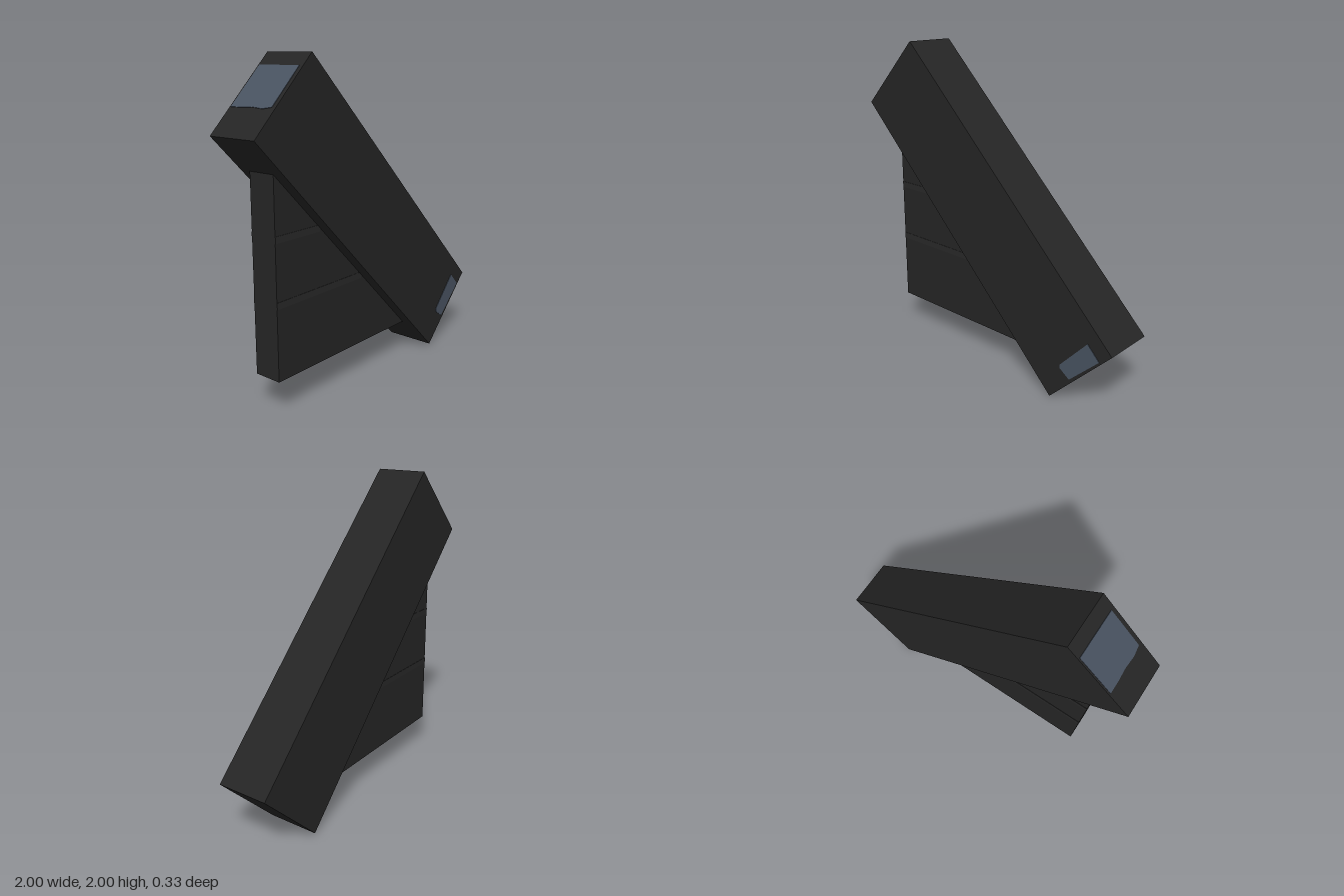
import * as THREE from 'three';

export function createModel() {
  const model = new THREE.Group();
  const black = new THREE.MeshStandardMaterial({ color: 0x252525 });
  black.name = 'black';
  const softBlack = new THREE.MeshStandardMaterial({ color: 0x282828 });
  softBlack.name = 'soft black';
  const slate = new THREE.MeshStandardMaterial({ color: 0x485260 });
  slate.name = 'slate';

  const add = (parent, name, geometry, material, x = 0, y = 0, z = 0) => {
    const mesh = new THREE.Mesh(geometry, material);
    mesh.name = name;
    mesh.position.set(x, y, z);
    parent.add(mesh);
    return mesh;
  };
  const plate = (points, depth) => new THREE.ExtrudeGeometry(
    new THREE.Shape(points.map(([x, y]) => new THREE.Vector2(x, y))),
    { depth, bevelEnabled: false });

  // Diagonal beam, with its length along local x
  const length = 2.234, width = 0.594, depth = 0.33;
  const beam = new THREE.Group();
  beam.name = 'beam';
  beam.position.y = 1.003;
  beam.rotation.z = -Math.PI / 4;
  model.add(beam);
  add(beam, 'beamBody', new THREE.BoxGeometry(length, width, depth), black);

  // Slate patch on the front of the lower end
  add(beam, 'frontPatch', plate([
    [0.986, 0.2], [0.997, -0.078], [1.011, -0.092], [1.096, -0.078], [1.103, 0.198],
  ], 0.003), slate, 0, 0, depth / 2);

  // Slate patch on the upper end face
  const endPatch = add(beam, 'endPatch', plate([
    [-0.155, 0.198], [-0.155, -0.099], [-0.08, -0.099], [0, -0.092],
    [0.08, -0.099], [0.14, -0.085], [0.14, 0.198],
  ], 0.003), slate, -length / 2, 0, 0);
  endPatch.rotation.y = -Math.PI / 2;

  // Triangular web under the beam
  const back = -0.097, front = 0.082;
  add(model, 'web', plate([[-0.8, 0.215], [0.38, 0.215], [-0.8, 1.395]], front - back),
    black, 0, 0, back);

  // Faint bands across both faces of the web
  for (const y of [0.64, 1.01]) {
    const right = 0.56 - y;
    const band = plate([[-0.8, y], [right, y], [right, y + 0.04], [-0.8, y + 0.04]], 0.002);
    add(model, 'frontBand', band, softBlack, 0, 0, front);
    add(model, 'backBand', band, softBlack, 0, 0, back - 0.002);
  }
  return model;
}
